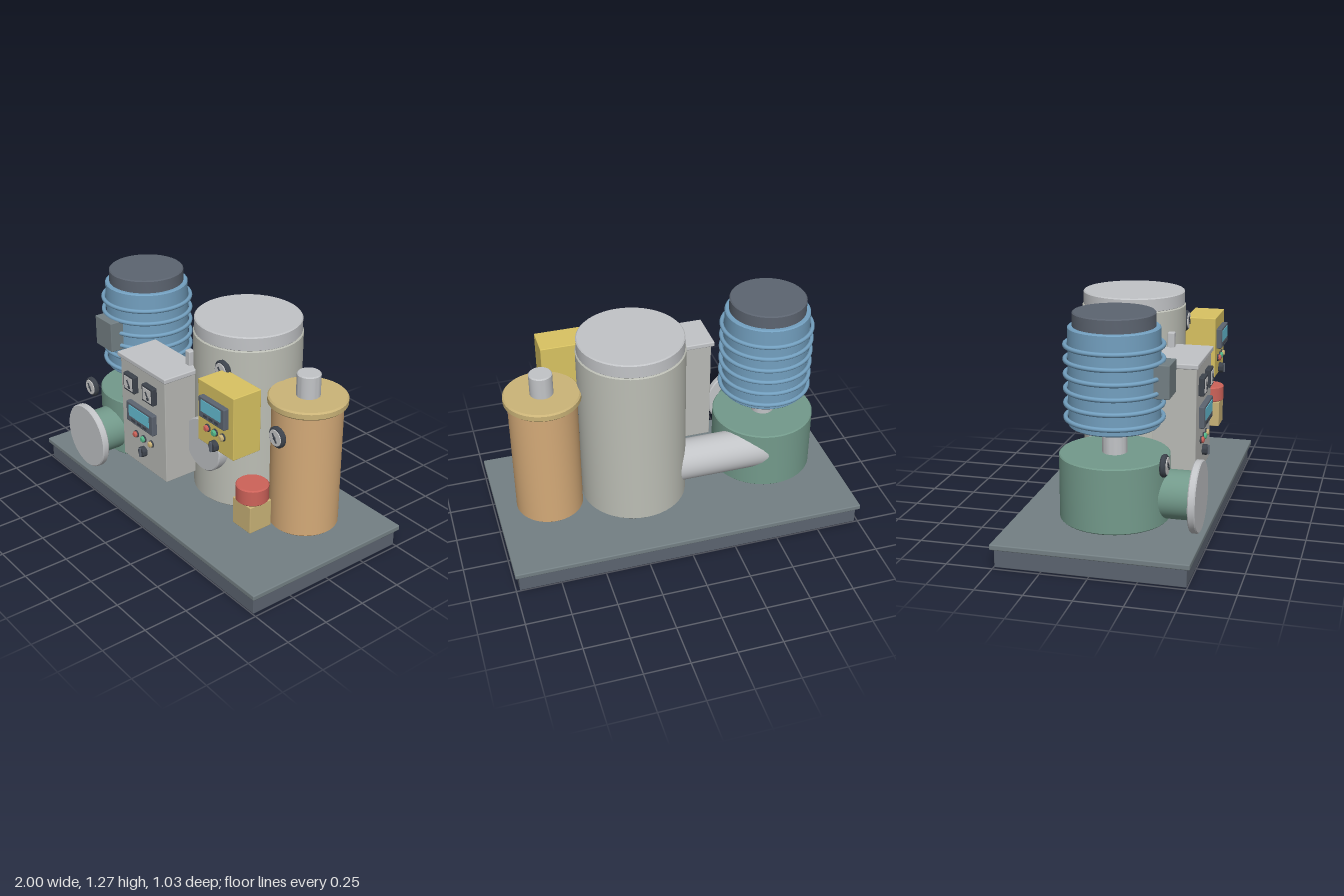
import * as THREE from 'three';
import { toCreasedNormals } from 'three/addons/utils/BufferGeometryUtils.js';
import { RoundedBoxGeometry } from 'three/addons/geometries/RoundedBoxGeometry.js';

const C = {
  dark: 0x5c6470, deck: 0x748084, green: 0x739a8b, blue: 0x73a0c0, steel: 0xc2c4c7, tank: 0xbcbeb5,
  panel: 0xb9bab6, orange: 0xd4aa78, brass: 0xcbb478, yellow: 0xd9c362, red: 0xcd6259,
  lime: 0x55b88a, cyan: 0x66c0d6, black: 0x3d434c, face: 0xdcdcda,
};
const mats = {};
const mat = (key) => (mats[key] ??= new THREE.MeshStandardMaterial({ color: C[key] }));

function add(parent, name, geo, key, x = 0, y = 0, z = 0) {
  const m = new THREE.Mesh(geo, mat(key));
  m.name = name;
  m.position.set(x, y, z);
  parent.add(m);
  return m;
}

// Box given by its limits on each axis, with optional rounded edges
function box(parent, name, key, [x0, x1], [y0, y1], [z0, z1], r = 0) {
  const d = [x1 - x0, y1 - y0, z1 - z0];
  const geo = r ? new RoundedBoxGeometry(...d, 2, r) : new THREE.BoxGeometry(...d);
  return add(parent, name, geo, key, (x0 + x1) / 2, (y0 + y1) / 2, (z0 + z1) / 2);
}

// Cylinder along y from 0 to h with a small chamfer on both rims
function drum(r, h, b = 0.006, seg = 48) {
  const pts = [[0, 0], [r - b, 0], [r, b], [r, h - b], [r - b, h], [0, h]].map((p) => new THREE.Vector2(...p));
  return toCreasedNormals(new THREE.LatheGeometry(pts, seg), 0.6);
}
const upright = (p, name, key, r, y0, y1, x, z, b) => add(p, name, drum(r, y1 - y0, b), key, x, y0, z);
const facing = (p, name, key, r, z0, z1, x, y, b = 0.004, seg = 32) =>
  add(p, name, drum(r, z1 - z0, b, seg).rotateX(Math.PI / 2), key, x, y, z0);

function group(parent, name) {
  const g = new THREE.Group();
  g.name = name;
  parent.add(g);
  return g;
}

// Round dial gauge facing the front
function gauge(parent, name, x, y, z, r = 0.058) {
  const g = group(parent, name);
  g.position.set(x, y, z);
  facing(g, 'gaugeCase', 'black', r, 0, 0.03, 0, 0, 0.008);
  facing(g, 'gaugeFace', 'face', r * 0.78, 0.02, 0.034, 0, 0, 0.002);
  const needle = add(g, 'gaugeNeedle', new THREE.BoxGeometry(0.008, r * 0.95, 0.005), 'black', 0, 0, 0.036);
  needle.rotation.z = 0.6;
  facing(g, 'gaugeHub', 'black', 0.009, 0.03, 0.04, 0, 0, 0.002, 16);
}

// Square meter with a needle
function meter(parent, x, y, z) {
  const g = group(parent, 'panelMeter');
  g.position.set(x, y, z);
  box(g, 'meterCase', 'black', [-0.051, 0.051], [-0.051, 0.051], [-0.005, 0.03], 0.006);
  box(g, 'meterFace', 'face', [-0.037, 0.037], [-0.037, 0.037], [0.02, 0.033]);
  const needle = add(g, 'meterNeedle', new THREE.BoxGeometry(0.007, 0.05, 0.005), 'black', 0.006, -0.002, 0.035);
  needle.rotation.z = 0.55;
  facing(g, 'meterHub', 'black', 0.01, 0.03, 0.038, 0.012, -0.018, 0.002, 16);
}

// Screen, three buttons and a selector knob
function controls(parent, { x, z, w, h, screenY, buttonY, knobY, pitch }) {
  const g = group(parent, 'operatorControls');
  g.position.set(x, 0, z);
  box(g, 'displayFrame', 'dark', [-w / 2, w / 2], [screenY - h / 2, screenY + h / 2], [-0.005, 0.03], 0.006);
  box(g, 'displayScreen', 'cyan', [-w * 0.39, w * 0.37], [screenY - h * 0.17, screenY + h * 0.38], [0.02, 0.033]);
  for (let i = 0; i < 3; i++)
    box(g, 'displayKey', 'black', [-w * 0.3 + i * w * 0.22, -w * 0.16 + i * w * 0.22],
      [screenY - h * 0.38, screenY - h * 0.27], [0.02, 0.033]);
  ['red', 'lime', 'brass'].forEach((key, i) => {
    facing(g, 'buttonCollar', 'black', 0.021, -0.004, 0.008, (i - 1) * pitch, buttonY, 0.002, 20);
    facing(g, 'pushButton', key, 0.017, 0, 0.022, (i - 1) * pitch, buttonY, 0.005, 20);
  });
  facing(g, 'selectorKnob', 'black', 0.03, -0.004, 0.028, 0, knobY, 0.005, 24);
  box(g, 'selectorGrip', 'dark', [-0.006, 0.006], [knobY - 0.026, knobY + 0.026], [0.025, 0.036]);
}

export function createModel() {
  const root = new THREE.Group();
  root.name = 'pumpSkid';

  // Base skid
  const base = group(root, 'base');
  box(base, 'basePlinth', 'dark', [-0.98, 0.98], [0, 0.1], [-0.497, 0.497], 0.004);
  box(base, 'baseDeck', 'deck', [-1, 1], [0.1, 0.13], [-0.515, 0.515], 0.006);

  // Pump casing with front inlet
  const px = -0.582, pz = 0.032;
  const pump = group(root, 'pump');
  upright(pump, 'pumpCasing', 'green', 0.288, 0.185, 0.533, px, pz);
  facing(pump, 'inletNeck', 'green', 0.128, 0.1, 0.46, px, 0.327, 0.004, 48);
  facing(pump, 'inletFlange', 'steel', 0.19, 0.45, 0.49, px, 0.325, 0.006, 48);
  gauge(pump, 'pumpGauge', -0.745, 0.535, 0.315);

  // Finned motor
  const motor = group(root, 'motor');
  upright(motor, 'motorShaft', 'steel', 0.065, 0.52, 0.7, px, pz);
  upright(motor, 'motorBody', 'blue', 0.236, 0.682, 1.197, px, pz);
  upright(motor, 'motorCap', 'dark', 0.212, 1.19, 1.27, px, pz);
  const fin = new THREE.TorusGeometry(0.25, 0.012, 10, 56).rotateX(Math.PI / 2);
  for (let i = 0; i < 6; i++) add(motor, 'coolingFin', fin, 'blue', px, 0.725 + i * 0.0755, pz);
  box(motor, 'terminalBox', 'deck', [-0.663, -0.503], [0.85, 1.025], [0.22, 0.335], 0.004);

  // Main vessel
  const tx = 0.222, tz = -0.066;
  const tank = group(root, 'mainTank');
  upright(tank, 'tankShell', 'tank', 0.294, 0.215, 1.152, tx, tz);
  upright(tank, 'tankLid', 'steel', 0.288, 1.148, 1.228, tx, tz);
  facing(tank, 'manwayCover', 'steel', 0.152, 0.1, 0.247, tx, 0.55, 0.006, 48);
  gauge(tank, 'tankGauge', 0.355, 1.035, 0.193);
  const pipe = add(tank, 'transferPipe', drum(0.115, 0.65), 'steel', 0.1, 0.395, -0.135);
  pipe.rotation.z = Math.PI / 2;

  // Filter column
  const fx = 0.71, fz = -0.064;
  const filter = group(root, 'filterColumn');
  upright(filter, 'filterBody', 'orange', 0.186, 0.215, 0.925, fx, fz);
  upright(filter, 'filterRim', 'brass', 0.208, 0.917, 0.96, fx, fz, 0.008);
  upright(filter, 'filterOutlet', 'steel', 0.063, 0.95, 1.084, fx, fz);
  gauge(filter, 'filterGauge', 0.706, 0.776, 0.117);

  // Main control cabinet
  const cabinet = group(root, 'controlCabinet');
  box(cabinet, 'cabinetBody', 'panel', [-0.307, 0.107], [0.312, 0.925], [0.165, 0.402], 0.004);
  box(cabinet, 'cabinetTop', 'steel', [-0.325, 0.123], [0.922, 0.95], [0.155, 0.413], 0.006);
  box(cabinet, 'cabinetPost', 'steel', [0.028, 0.068], [0.945, 1.032], [0.17, 0.21], 0.006);
  meter(cabinet, -0.195, 0.81, 0.402);
  meter(cabinet, -0.018, 0.81, 0.402);
  controls(cabinet, { x: -0.1, z: 0.402, w: 0.25, h: 0.122, screenY: 0.633, buttonY: 0.495, knobY: 0.417, pitch: 0.072 });

  // Small control box
  const small = group(root, 'controlBox');
  box(small, 'controlBoxBody', 'yellow', [0.367, 0.657], [0.7, 1.05], [0.203, 0.378], 0.004);
  controls(small, { x: 0.513, z: 0.378, w: 0.208, h: 0.118, screenY: 0.922, buttonY: 0.802, knobY: 0.727, pitch: 0.062 });

  // Alarm beacon and its housing
  const alarm = group(root, 'alarm');
  upright(alarm, 'alarmBeacon', 'red', 0.086, 0.473, 0.565, 0.705, 0.29);
  box(alarm, 'alarmHousing', 'brass', [0.636, 0.778], [0.32, 0.474], [0.222, 0.362], 0.004);

  return root;
}
